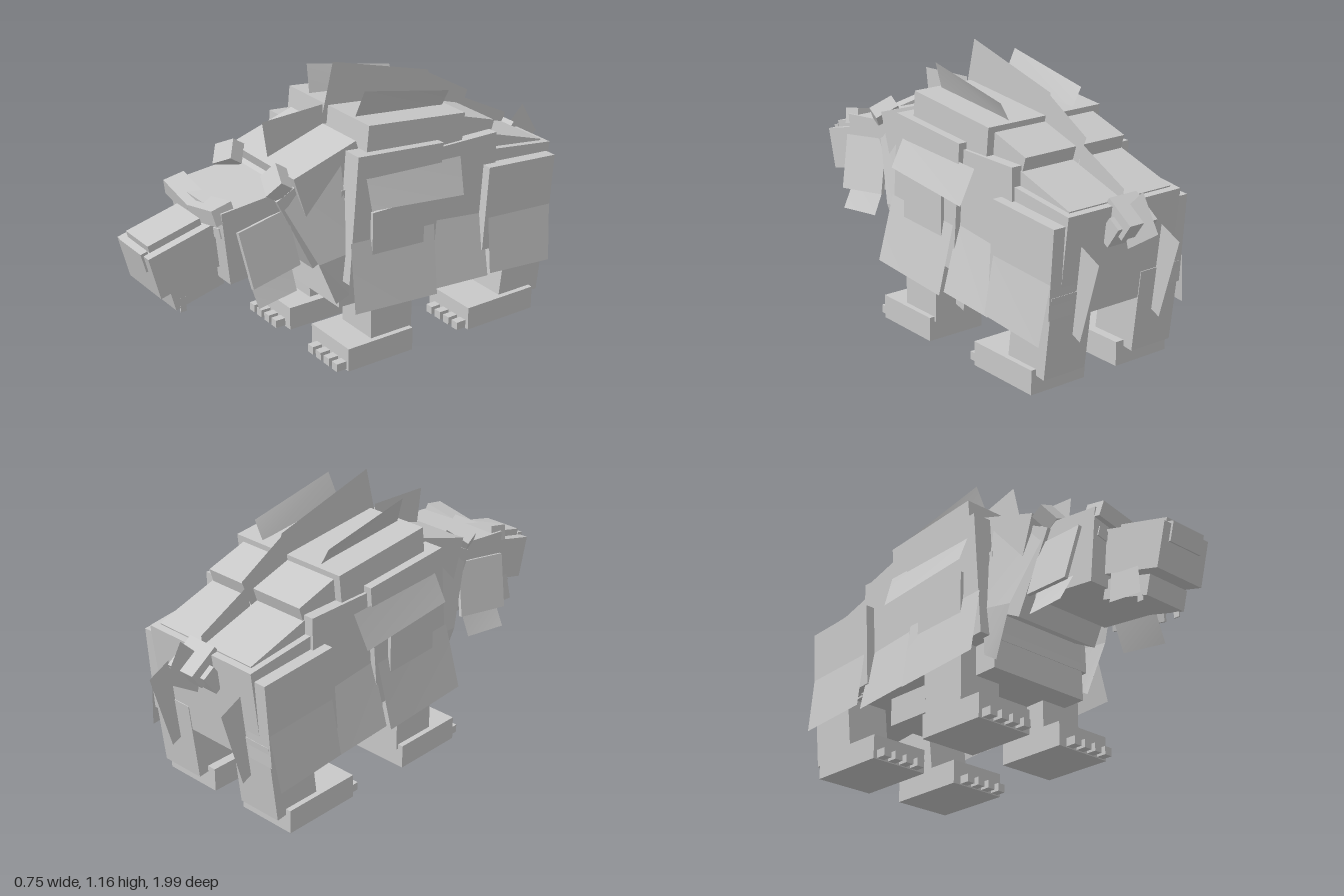
import * as THREE from 'three';

const fur = new THREE.MeshStandardMaterial({ color: 0xc8c8c8, side: THREE.DoubleSide });
fur.name = 'grey fur';

export function createModel() {
  const model = new THREE.Group();
  model.name = 'bear';

  // Box from size, centre and rotation
  function box(name, [w, h, d], [x, y, z], [rx, ry, rz] = [0, 0, 0]) {
    const mesh = new THREE.Mesh(new THREE.BoxGeometry(w, h, d), fur);
    mesh.name = name;
    mesh.position.set(x, y, z);
    mesh.rotation.set(rx, ry, rz);
    model.add(mesh);
  }
  function boxPair(name, size, [x, y, z], [rx, ry, rz] = [0, 0, 0]) {
    box(name + 'Left', size, [x, y, z], [rx, ry, rz]);
    box(name + 'Right', size, [-x, y, z], [rx, -ry, -rz]);
  }

  // Flat tuft of fur from four corners
  function tuft(name, corners, side = 1) {
    const geometry = new THREE.BufferGeometry();
    const points = corners.flatMap(([x, y, z]) => [x * side, y, z]);
    geometry.setAttribute('position', new THREE.Float32BufferAttribute(points, 3));
    geometry.setIndex(side > 0 ? [0, 1, 2, 0, 2, 3] : [0, 2, 1, 0, 3, 2]);
    geometry.computeVertexNormals();
    const mesh = new THREE.Mesh(geometry, fur);
    mesh.name = name;
    model.add(mesh);
  }
  function tuftPair(name, corners) {
    tuft(name + 'Left', corners, 1);
    tuft(name + 'Right', corners, -1);
  }
  // Upright fin on the centre line, corners as [z, y]
  const fin = (name, corners) => tuft(name, corners.map(([z, y]) => [0, y, z]));

  // Body
  box('shoulders', [0.626, 0.53, 0.41], [0, 0.61, -0.005], [-0.08, 0, 0]);
  box('chest', [0.485, 0.5, 0.4], [0, 0.48, 0.015], [-0.03, 0, 0]);
  box('hump', [0.554, 0.2, 0.47], [0, 0.868, -0.12], [-0.1, 0, 0]);
  box('midBack', [0.49, 0.2, 0.28], [0, 0.81, -0.38], [-0.3, 0, 0]);
  box('waist', [0.58, 0.5, 0.4], [0, 0.58, -0.32]);
  box('belly', [0.34, 0.3, 0.5], [0, 0.36, -0.22]);
  box('rump', [0.554, 0.42, 0.38], [0, 0.53, -0.61], [-0.12, 0, 0]);
  box('rumpTop', [0.5, 0.1, 0.36], [0, 0.73, -0.61], [-0.3, 0, 0]);
  boxPair('haunch', [0.12, 0.36, 0.35], [0.27, 0.51, -0.62], [-0.07, 0, 0]);

  // Neck
  box('neck', [0.42, 0.36, 0.34], [0, 0.66, 0.25], [0.46, 0, 0]);
  box('neckTop', [0.454, 0.25, 0.3], [0, 0.755, 0.235], [0.31, 0, 0]);
  tuftPair('neckRuff', [[0.2, 0.75, 0.47], [0.225, 0.85, 0.2], [0.275, 0.48, 0.19], [0.265, 0.46, 0.33]]);
  tuftPair('lowerRuff', [[0.265, 0.46, 0.33], [0.275, 0.48, 0.19], [0.265, 0.29, 0.19], [0.25, 0.26, 0.24]]);

  // Head
  box('head', [0.386, 0.3, 0.29], [0, 0.615, 0.555], [0.1, 0, 0]);
  box('snout', [0.245, 0.18, 0.29], [0, 0.56, 0.825], [0.25, 0, 0]);
  box('snoutBridge', [0.17, 0.06, 0.23], [0, 0.645, 0.85], [0.25, 0, 0]);
  box('nose', [0.17, 0.08, 0.03], [0, 0.585, 0.975], [0.25, 0, 0]);
  box('lowerJaw', [0.205, 0.08, 0.22], [0, 0.425, 0.775], [0.25, 0, 0]);
  boxPair('brow', [0.19, 0.065, 0.09], [0.093, 0.725, 0.7], [0.2, 0.05, 0.2]);
  boxPair('eye', [0.05, 0.04, 0.01], [0.145, 0.655, 0.705], [0.1, 0, 0.2]);
  boxPair('ear', [0.105, 0.085, 0.06], [0.175, 0.81, 0.46], [-0.6, 0, -0.55]);
  boxPair('fang', [0.006, 0.06, 0.025], [0.1, 0.375, 0.84]);
  tuft('lipFlap', [[-0.12, 0.51, 0.72], [-0.12, 0.5, 0.85], [-0.135, 0.36, 0.87], [-0.135, 0.37, 0.72]]);
  boxPair('cheek', [0.015, 0.23, 0.24], [0.232, 0.575, 0.535], [0.1, 0.16, 0.22]);
  tuftPair('cheekTuft', [[0.23, 0.48, 0.63], [0.21, 0.5, 0.43], [0.26, 0.38, 0.43], [0.29, 0.37, 0.62]]);

  // Legs, feet and toes
  boxPair('frontThigh', [0.2, 0.33, 0.25], [0.227, 0.485, -0.005]);
  boxPair('frontLeg', [0.2, 0.34, 0.2], [0.22, 0.25, 0.02]);
  boxPair('hindLeg', [0.2, 0.34, 0.21], [0.22, 0.25, -0.665], [-0.12, 0, 0]);
  for (const [name, front, depth] of [['front', 0.245, 0.315], ['hind', -0.36, 0.345]]) {
    boxPair(name + 'Foot', [0.262, 0.1, depth], [0.212, 0.05, front - depth / 2]);
    for (let i = 0; i < 4; i++) {
      boxPair(name + 'Toe' + (i + 1), [0.036, 0.034, 0.07], [0.137 + i * 0.057, 0.021, front + 0.01]);
    }
  }

  // Fins along the spine
  fin('neckFin', [[0.41, 0.985], [0.13, 1.0], [0.13, 0.75], [0.37, 0.71]]);
  fin('humpFin', [[0.08, 1.165], [-0.39, 1.04], [-0.42, 0.85], [0.14, 0.92]]);
  fin('backFin', [[-0.37, 1.04], [-0.6, 0.91], [-0.55, 0.78], [-0.33, 0.88]]);
  fin('rumpFin', [[-0.58, 0.88], [-0.81, 0.765], [-0.8, 0.66], [-0.55, 0.75]]);
  tuftPair('humpTuft', [[0.2, 1.1, 0.07], [0.2, 1.02, -0.34], [0.15, 0.93, -0.34], [0.15, 0.96, 0.09]]);

  // Fur flaps on the flanks and legs
  tuftPair('shoulderFlap', [[0.31, 0.8, 0.14], [0.31, 0.78, -0.32], [0.363, 0.635, -0.3], [0.363, 0.68, 0.15]]);
  tuftPair('foreFlap', [[0.315, 0.54, 0.215], [0.315, 0.52, -0.19], [0.37, 0.235, -0.17], [0.375, 0.265, 0.235]]);
  tuftPair('flankFlap', [[0.29, 0.52, -0.19], [0.29, 0.49, -0.46], [0.35, 0.23, -0.45], [0.355, 0.25, -0.18]]);
  tuftPair('haunchFlap', [[0.33, 0.48, -0.46], [0.33, 0.46, -0.79], [0.365, 0.22, -0.77], [0.365, 0.245, -0.45]]);
  tuftPair('elbowTuft', [[0.22, 0.3, -0.06], [0.22, 0.3, -0.16], [0.22, 0.12, -0.13], [0.22, 0.14, -0.06]]);
  tuftPair('rumpTuft', [[0.2, 0.6, -0.78], [0.2, 0.54, -0.905], [0.2, 0.21, -0.81], [0.2, 0.25, -0.72]]);

  // Tail
  box('tail', [0.135, 0.08, 0.14], [0, 0.67, -0.84], [-0.6, 0, 0]);
  box('tailBase', [0.18, 0.1, 0.06], [0, 0.62, -0.83], [-0.6, 0, 0]);
  fin('tailFin', [[-0.8, 0.67], [-0.91, 0.78], [-0.995, 0.64], [-0.84, 0.54]]);

  return model;
}
